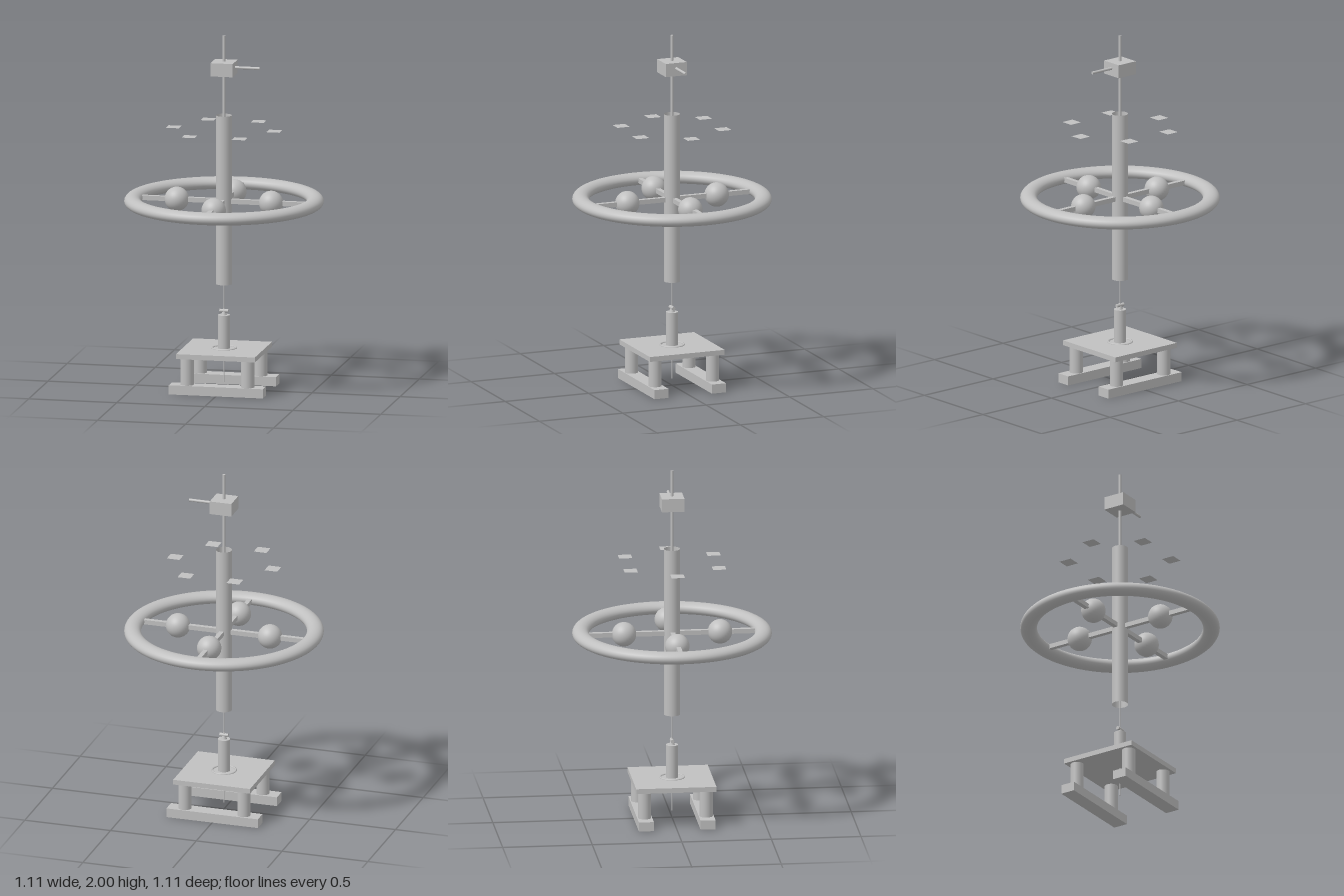
import * as THREE from 'three';

export function createModel() {
  const model = new THREE.Group();
  model.name = 'spinningWheelMast';
  const grey = new THREE.MeshStandardMaterial({ color: 0xc0c0c0 });
  grey.name = 'plain grey';
  grey.side = THREE.DoubleSide; // the mast tube and the floating plates are open surfaces

  const add = (name, geometry, x = 0, y = 0, z = 0) => {
    const mesh = new THREE.Mesh(geometry, grey);
    mesh.name = name;
    mesh.position.set(x, y, z);
    model.add(mesh);
    return mesh;
  };
  const box = (name, w, h, d, x, y, z) => add(name, new THREE.BoxGeometry(w, h, d), x, y, z);
  // Upright cylinder between two heights
  const post = (name, r, y0, y1, x = 0, z = 0, open = false) =>
    add(name, new THREE.CylinderGeometry(r, r, y1 - y0, 32, 1, open), x, (y0 + y1) / 2, z);

  // Stand: two feet, four legs and a platform
  for (const sz of [-1, 1]) {
    box('foot', 0.534, 0.052, 0.084, 0, 0.026, sz * 0.172);
    for (const sx of [-1, 1]) post('leg', 0.037, 0.05, 0.206, sx * 0.172, sz * 0.172);
  }
  box('platform', 0.448, 0.028, 0.448, 0, 0.218, 0);

  // Ring lying on the platform around the pedestal
  add('platformRing', new THREE.TorusGeometry(0.066, 0.006, 8, 48).rotateX(Math.PI / 2), 0, 0.232, 0);

  // Pedestal with a pointed top and a small cross pin
  post('pedestal', 0.034, 0.23, 0.42);
  add('pedestalTip', new THREE.CylinderGeometry(0.005, 0.016, 0.035, 16), 0, 0.4375, 0);
  add('crossPin', new THREE.CylinderGeometry(0.01, 0.01, 0.05, 16).rotateZ(Math.PI / 2), 0, 0.443, 0);

  // Wire through the stand, open mast tube and upper rod
  post('wire', 0.003, 0.04, 1.52);
  post('mastTube', 0.045, 0.595, 1.55, 0, 0, true);
  post('upperRod', 0.008, 1.5, 2.0);

  // Wheel: oval-section rim, four spokes, each with a ball
  const wheelY = 1.065;
  const rim = new THREE.TorusGeometry(0.507, 0.047, 24, 96).rotateX(Math.PI / 2).scale(1, 0.74, 1);
  add('wheelRim', rim, 0, wheelY, 0);
  for (let i = 0; i < 4; i++) {
    const a = i * Math.PI / 2;
    const c = Math.cos(a), s = Math.sin(a);
    box('spoke', 0.435, 0.026, 0.026, c * 0.2575, wheelY, s * 0.2575).rotation.y = -a;
    add('ball', new THREE.SphereGeometry(0.068, 32, 20), c * 0.268, wheelY, s * 0.268);
  }

  // Six flat plates floating in a circle
  for (let i = 0; i < 6; i++) {
    const a = i * Math.PI / 3;
    add('plate', new THREE.PlaneGeometry(0.074, 0.074).rotateX(-Math.PI / 2),
      Math.cos(a) * 0.285, 1.472, Math.sin(a) * 0.285);
  }

  // Block near the top with its side arm
  box('topBlock', 0.126, 0.075, 0.126, 0, 1.817, 0);
  add('sideArm', new THREE.CylinderGeometry(0.008, 0.008, 0.15, 16).rotateZ(Math.PI / 2), 0.127, 1.823, 0);

  return model;
}
